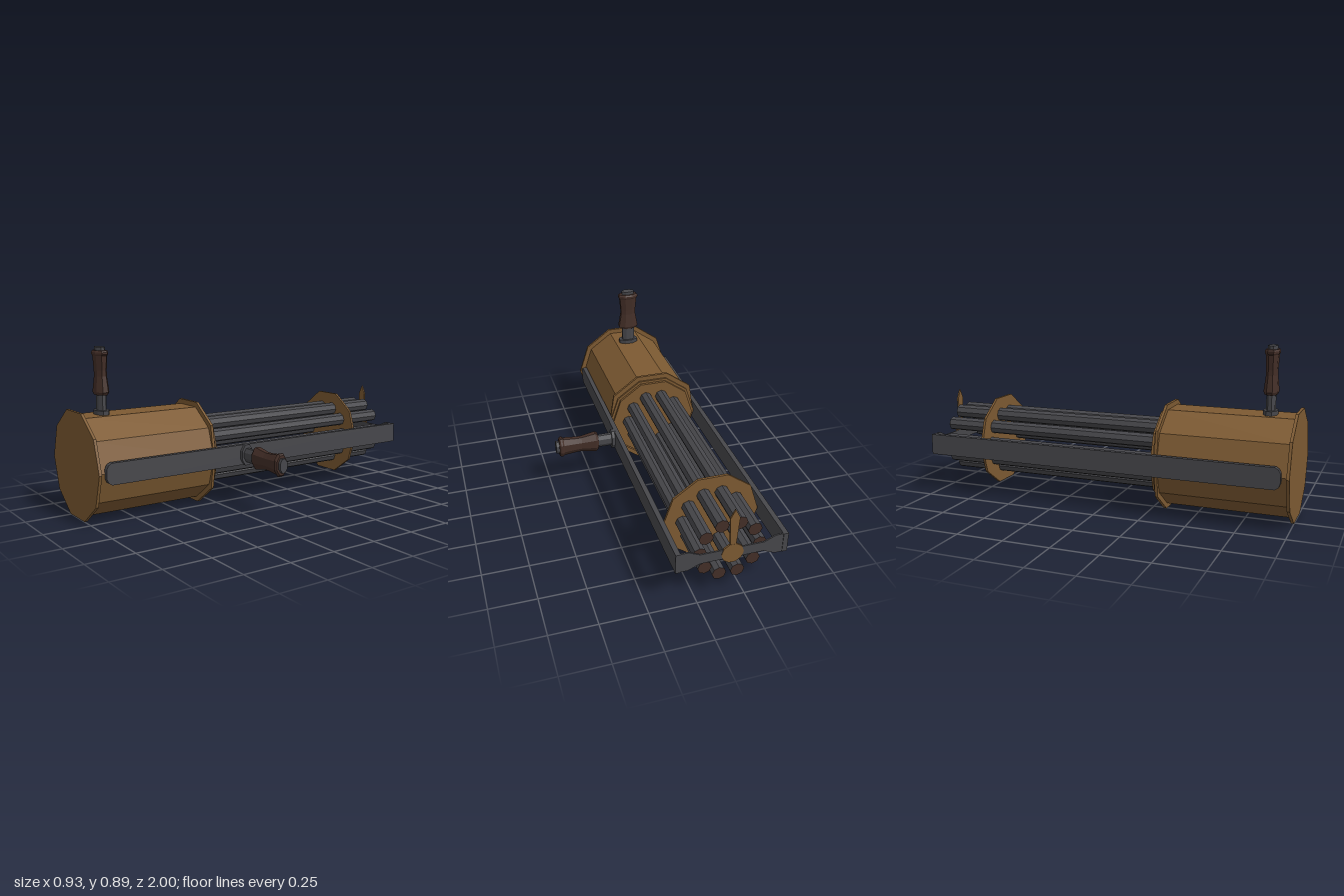
import * as THREE from 'three';

const CX = -0.17, CY = 0.283;

const brass = new THREE.MeshStandardMaterial({ color: 0x7d5a32 });
brass.name = 'bronze';
const metal = new THREE.MeshStandardMaterial({ color: 0x47474b });
metal.name = 'dark metal';
const wood = new THREE.MeshStandardMaterial({ color: 0x432e27 });
wood.name = 'dark wood';

// faceted normals
function flat(geo) {
  const g = geo.index ? geo.toNonIndexed() : geo;
  g.computeVertexNormals();
  return g;
}

function add(parent, name, geo, material) {
  const mesh = new THREE.Mesh(flat(geo), material);
  mesh.name = name;
  parent.add(mesh);
  return mesh;
}

// prism along z between two depths, with corners on the x axis
function prism(radius, z0, z1, sides) {
  return new THREE.CylinderGeometry(radius, radius, z1 - z0, sides, 1, false, Math.PI / 2)
    .rotateX(Math.PI / 2).translate(0, 0, (z0 + z1) / 2);
}

// eight-sided oval turning along y; radii are half widths across flats
function oval(points) {
  const k = Math.cos(Math.PI / 8);
  return new THREE.LatheGeometry(
    points.map(([r, y]) => new THREE.Vector2(r / k, y)), 8, Math.PI / 8).scale(1, 1, 0.6);
}

function plate(points, depth) {
  const shape = new THREE.Shape(points.map(([x, y]) => new THREE.Vector2(x, y)));
  return new THREE.ExtrudeGeometry(shape, { depth, bevelEnabled: false });
}

function makeHandle(name) {
  const handle = new THREE.Group();
  handle.name = name;
  add(handle, 'handleBase', oval([[0, -0.01], [0.057, -0.01], [0.057, 0.022], [0, 0.022]]), metal);
  add(handle, 'handleRod', oval([[0, 0], [0.0375, 0], [0.0375, 0.35], [0, 0.35]]), metal);
  add(handle, 'handleGrip', oval([
    [0, 0.102], [0.05, 0.102], [0.06, 0.117], [0.046, 0.2], [0.046, 0.23],
    [0.053, 0.305], [0.06, 0.313], [0.06, 0.323], [0.052, 0.332], [0, 0.332],
  ]), wood);
  return handle;
}

export function createModel() {
  const model = new THREE.Group();
  model.name = 'rotaryGun';
  const gun = new THREE.Group();
  gun.name = 'gunBody';
  gun.position.set(CX, CY, 0);
  model.add(gun);

  // ten-sided housing and its rims
  add(gun, 'housing', prism(0.267, 0.3, 0.99, 10), brass);
  add(gun, 'frontRim', prism(0.2955, 0.985, 1, 10), brass);
  const rim = prism(0.2955, 0.31, 0.325, 10);
  const p = rim.attributes.position;
  for (let i = 0; i < p.count; i++) p.setX(i, THREE.MathUtils.clamp(p.getX(i), -0.265, 0.265));
  add(gun, 'middleRim', rim, brass);
  add(gun, 'barrelMount', prism(0.252, 0.285, 0.312, 10), brass);
  add(gun, 'barrelPlate', prism(0.257, -0.708, -0.695, 10), brass);

  // ring of barrels with dark muzzles
  for (let i = 0; i < 10; i++) {
    const a = (i / 10) * Math.PI * 2;
    const barrel = add(gun, 'barrel', prism(0.037, -0.965, 0.29, 8), [metal, metal, wood]);
    barrel.position.set(Math.cos(a) * 0.156, Math.sin(a) * 0.156, 0);
  }

  // side rails, front ends with cut corners
  const h = 0.056;
  const rail = [[-1, -h], [0.93, -h], [0.948, -0.045], [0.957, -0.025],
    [0.957, 0.025], [0.948, 0.045], [0.93, h], [-1, h]];
  for (const x of [-0.29, 0.264]) {
    add(gun, 'sideRail',
      plate(rail.map(([z, y]) => [-z, y]).reverse(), 0.026).rotateY(Math.PI / 2).translate(x, 0, 0), metal);
  }

  // narrow-waisted cross piece joining the rails
  const half = [[0.288, h], [0.225, h], [0.165, 0.028]];
  const top = [...half, ...half.map(([x, y]) => [-x, y]).reverse()];
  const cross = [...top, ...top.map(([x, y]) => [x, -y]).reverse()];
  add(gun, 'crossPiece', plate(cross, 0.008).translate(0, 0, -0.997), metal);

  // sight: round hub with a pointed blade
  add(gun, 'sightHub', prism(0.058, -1, -0.99, 10), brass);
  add(gun, 'sightBlade', plate([[-0.014, 0.03], [0.014, 0.03], [0.025, 0.215],
    [0, 0.265], [-0.025, 0.215]], 0.009).translate(0, 0, -0.9995), brass);

  // grips
  const topHandle = makeHandle('topHandle');
  topHandle.position.set(CX, 0.538, 0.845);
  const sideHandle = makeHandle('sideHandle');
  sideHandle.position.set(0.116, CY, 0.132);
  sideHandle.rotation.z = -Math.PI / 2;
  model.add(topHandle, sideHandle);

  return model;
}
